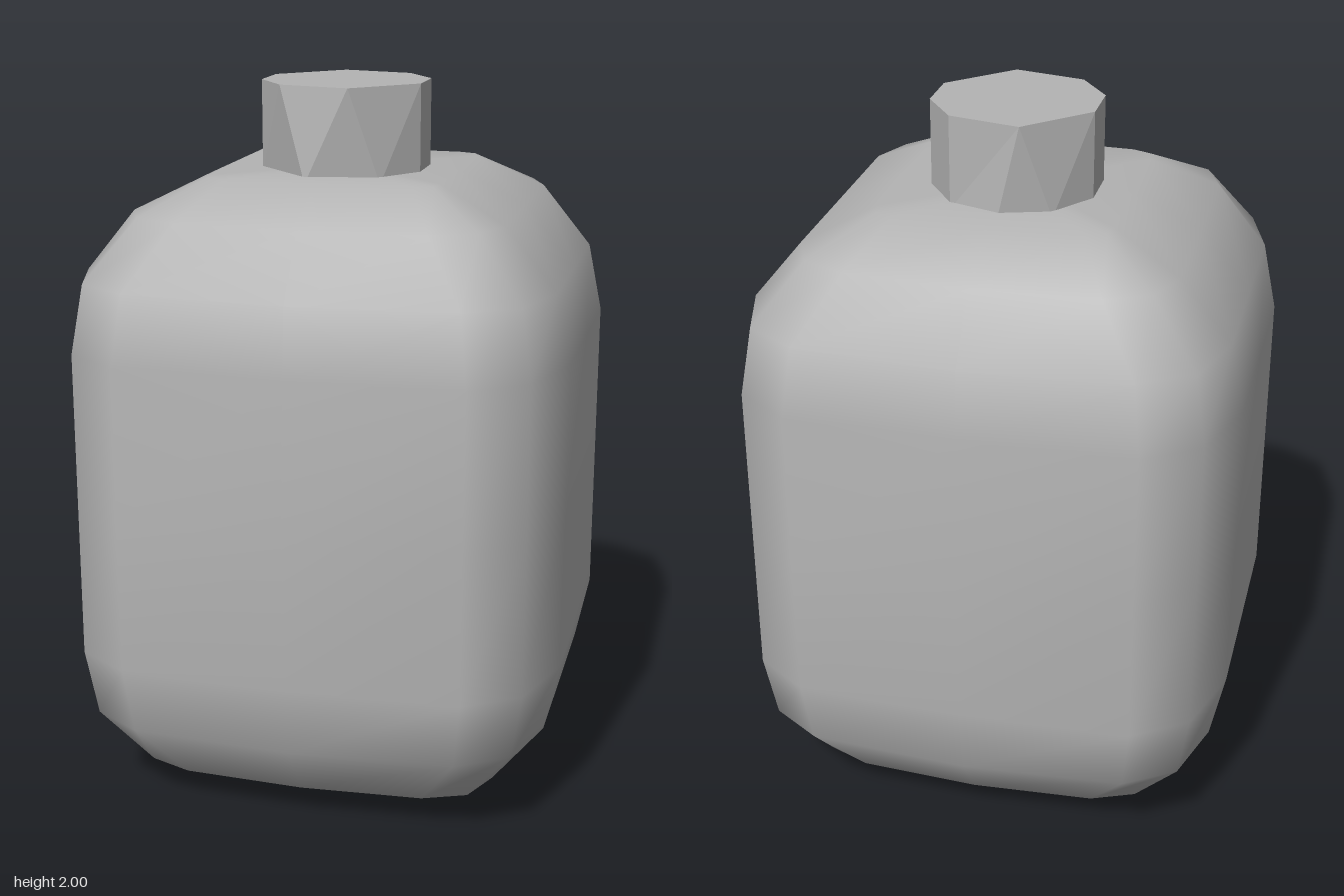
import * as THREE from 'three';

const grey = new THREE.MeshStandardMaterial({ color: 0xb4b4b4 });
grey.name = 'plain grey';

// Stack rings of [x, y, z] points and close both ends with a centre point
function loft(rings) {
  const n = rings[0].length, pos = [], idx = [];
  rings.forEach(r => r.forEach(p => pos.push(...p)));
  for (let i = 0; i < rings.length - 1; i++) {
    for (let j = 0; j < n; j++) {
      const a = i * n + j, b = i * n + (j + 1) % n;
      idx.push(a, a + n, b, b, a + n, b + n);
    }
  }
  const bottom = pos.length / 3, top = bottom + 1, last = (rings.length - 1) * n;
  pos.push(0, rings[0][0][1], 0, 0, rings[rings.length - 1][0][1], 0);
  for (let j = 0; j < n; j++) {
    const k = (j + 1) % n;
    idx.push(bottom, j, k, top, last + k, last + j);
  }
  const g = new THREE.BufferGeometry();
  g.setAttribute('position', new THREE.Float32BufferAttribute(pos, 3));
  g.setIndex(idx);
  g.computeVertexNormals();
  return g;
}

// Rounded square section, mirrored from one quadrant
function section([y, x, c, dx, dz, a, za, z]) {
  const q = [[x, 0], [x, c], [dx, dz], [a, za], [0, z]];
  const half = [...q, ...q.slice(0, 4).reverse().map(([u, v]) => [-u, v])];
  const full = [...half, ...half.slice(1, -1).reverse().map(([u, v]) => [u, -v])];
  return full.map(([u, v]) => [u, y, v]);
}

export function createModel() {
  const group = new THREE.Group();
  group.name = 'bottle';

  // Body: lower half sections mirrored upward around the widest one
  const lower = [
    [0.00, 0.32, 0.26, 0.31, 0.31, 0.26, 0.33, 0.34],
    [0.09, 0.51, 0.34, 0.46, 0.46, 0.34, 0.51, 0.53],
    [0.26, 0.65, 0.34, 0.59, 0.54, 0.45, 0.63, 0.66],
    [0.45, 0.69, 0.34, 0.62, 0.56, 0.47, 0.66, 0.675],
  ];
  const upper = lower.map(([y, ...r]) => [1.76 - y, ...r]).reverse();
  const middle = [0.88, 0.69, 0.34, 0.62, 0.56, 0.47, 0.665, 0.705];
  const body = new THREE.Mesh(loft([...lower, middle, ...upper].map(section)), grey);
  body.name = 'body';
  group.add(body);

  // Neck: irregular eight-sided stub, slightly twisted at the front
  const sides = [[0.225, -0.07], [0.225, 0.07]], left = [[-0.225, 0.07], [-0.225, -0.07]];
  const topRing = [...sides, [0.06, 0.235], [-0.14, 0.19], ...left, [-0.06, -0.235], [0.14, -0.19]];
  const baseRing = [...sides, [0.14, 0.19], [-0.06, 0.235], ...left, [-0.14, -0.19], [0, -0.235]];
  const atHeight = (ring, y) => ring.map(([x, z]) => [x, y, z]);
  // extra back corner at the base keeps the right rear edge upright
  baseRing.splice(7, 1, [0, -0.235], [0.14, -0.19]);
  topRing.splice(7, 0, [-0.06, -0.235]);
  const neckGeometry = loft([atHeight(baseRing, 1.74), atHeight(topRing, 2)]).toNonIndexed();
  neckGeometry.computeVertexNormals();
  const neck = new THREE.Mesh(neckGeometry, grey);
  neck.name = 'neck';
  group.add(neck);

  return group;
}
